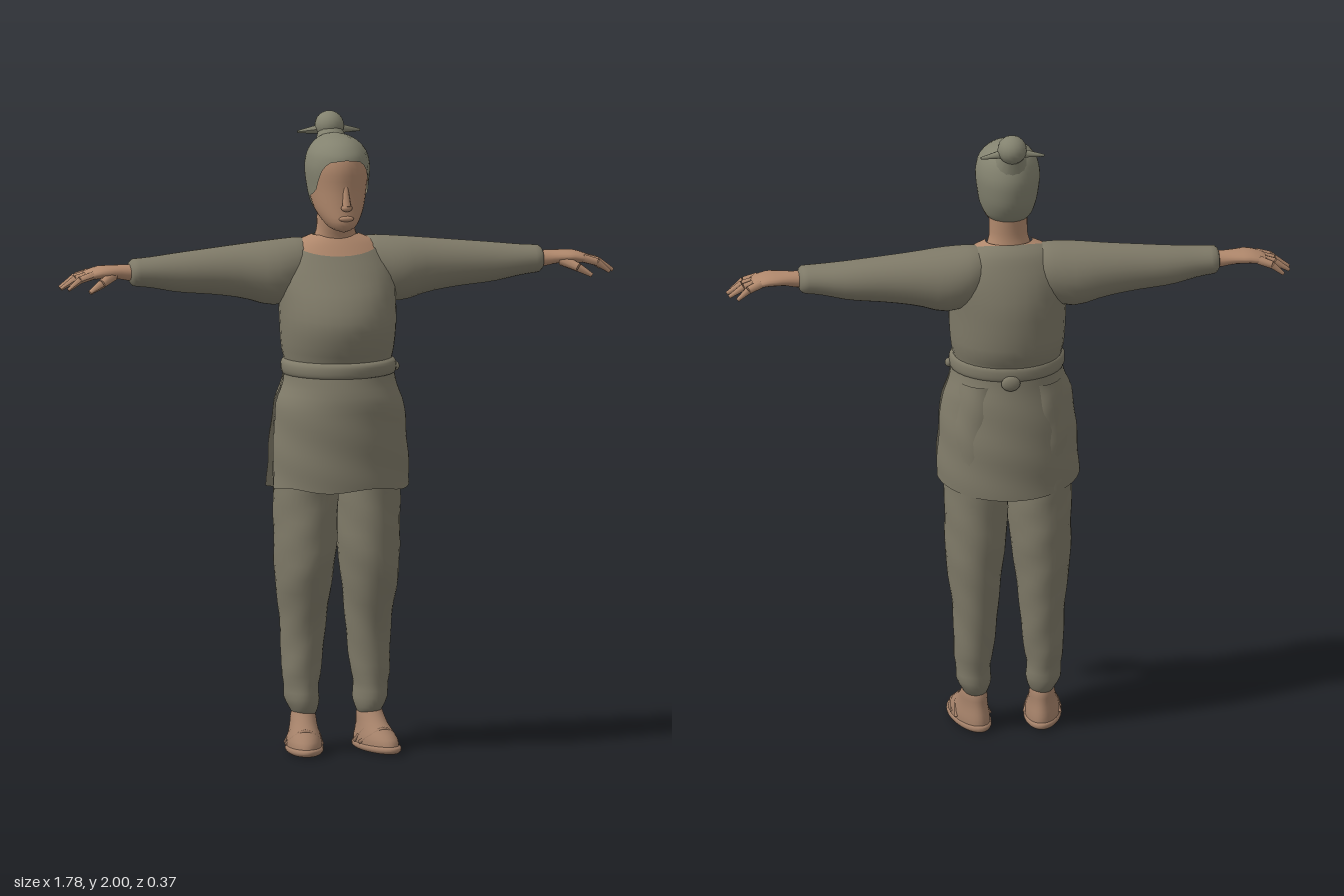
import * as THREE from 'three';
import { mergeVertices } from 'three/addons/utils/BufferGeometryUtils.js';

const mat = (name, color, side = THREE.FrontSide) => {
  const m = new THREE.MeshStandardMaterial({ color, side });
  m.name = name;
  return m;
};

// Smooth, overshoot-free interpolation of rows [t, a, b, ...]
function sample(rows, t) {
  const n = rows.length - 1;
  let i = 0;
  while (i < n - 1 && t > rows[i + 1][0]) i++;
  const slope = (k, c) => (rows[k + 1][c] - rows[k][c]) / (rows[k + 1][0] - rows[k][0]);
  const tangent = (k, c) => {
    if (k === 0) return slope(0, c);
    if (k === n) return slope(n - 1, c);
    const p = slope(k - 1, c), q = slope(k, c);
    return p * q <= 0 ? 0 : (2 * p * q) / (p + q);
  };
  const h = rows[i + 1][0] - rows[i][0];
  const u = Math.min(1, Math.max(0, (t - rows[i][0]) / h)), u2 = u * u, u3 = u2 * u;
  return rows[i].map((v, c) => c === 0 ? t :
    (2 * u3 - 3 * u2 + 1) * v + (u3 - 2 * u2 + u) * h * tangent(i, c) +
    (3 * u2 - 2 * u3) * rows[i + 1][c] + (u3 - u2) * h * tangent(i + 1, c));
}

// Skin over oval sections [t, halfWidth, low, high, centre] along y or x.
// lo/hi trim the ends by angle; half/slit leave an opening at the sides.
function loft(rows, o = {}) {
  const { axis = 'y', mid = 0, half = Math.PI, slit = 0, grow = 1, ripple = 0, nu = 32, nv = 22 } = o;
  const lo = o.lo ?? (() => rows[0][0]);
  const hi = o.hi ?? (() => rows[rows.length - 1][0]);
  const pos = [], index = [];
  for (let j = 0; j <= nv; j++) {
    const s = 0.5 - 0.5 * Math.cos(Math.PI * j / nv);
    for (let i = 0; i <= nu; i++) {
      const a = mid + (2 * i / nu - 1) * (half - slit * (1 - s));
      const t = lo(a) + (hi(a) - lo(a)) * s;
      const [, w, b, f, c = 0] = sample(rows, t);
      const k = grow * (1 + ripple * Math.sin(3 * a + t * 45));
      const across = c + k * w * Math.sin(a);
      const depth = (b + f) / 2 + k * (f - b) / 2 * Math.cos(a);
      pos.push(...(axis === 'y' ? [across, t, depth] : [t, depth, across]));
      if (i < nu && j < nv) {
        const p = j * (nu + 1) + i, q = p + nu + 1;
        index.push(p, p + 1, q, p + 1, q + 1, q);
      }
    }
  }
  let g = new THREE.BufferGeometry();
  g.setAttribute('position', new THREE.Float32BufferAttribute(pos, 3));
  g.setIndex(index);
  g = mergeVertices(g, 1e-5);
  g.computeVertexNormals();
  return g;
}

// Tapered round bar between two points
function bar(p, q, r1, r2, sides = 8) {
  const a = new THREE.Vector3(...p), d = new THREE.Vector3(...q).sub(a);
  const g = new THREE.CylinderGeometry(r2, r1, d.length(), sides);
  g.applyQuaternion(new THREE.Quaternion().setFromUnitVectors(new THREE.Vector3(0, 1, 0), d.clone().normalize()));
  return g.translate(...a.addScaledVector(d, 0.5).toArray());
}

const ball = (x, y, z, rx, ry, rz) =>
  new THREE.SphereGeometry(1, 16, 12).scale(rx, ry, rz).translate(x, y, z);

function mirrored(geo) {
  const g = geo.clone().scale(-1, 1, 1), ix = g.index.array;
  for (let i = 0; i < ix.length; i += 3) [ix[i], ix[i + 1]] = [ix[i + 1], ix[i]];
  g.computeVertexNormals();
  return g;
}

export function createModel() {
  const root = new THREE.Group();
  root.name = 'figure';
  const cloth = mat('olive cloth', 0x7f7a68, THREE.DoubleSide);
  const hairMat = mat('grey hair', 0x83826f, THREE.DoubleSide);
  const skin = mat('skin', 0xb0886c);
  const shoeMat = mat('shoe leather', 0xa38068);
  const add = (name, geo, m) => {
    const mesh = new THREE.Mesh(geo, m);
    mesh.name = name;
    root.add(mesh);
  };
  const pair = (name, geo, m) => {
    add('left' + name, geo, m);
    add('right' + name, mirrored(geo), m);
  };

  // Tunic body with a scooped neckline, skin showing inside it
  const torso = [
    [1.17, .17, -.15, .155], [1.22, .168, -.15, .15], [1.28, .178, -.175, .17],
    [1.35, .183, -.18, .182], [1.42, .185, -.178, .16], [1.5, .19, -.162, .105],
    [1.56, .17, -.14, .062], [1.6, .13, -.12, .035], [1.625, .075, -.09, .015]];
  add('tunicBody', loft(torso, { hi: a => 1.595 - .03 * Math.cos(a) + .012 * Math.sin(a) ** 2 }), cloth);
  add('upperChest', loft(torso, { lo: () => 1.52, grow: .98 }), skin);
  add('neck', loft([[1.55, .085, -.1, .03], [1.61, .07, -.09, .02], [1.65, .06, -.085, .03], [1.72, .06, -.09, .05]]), skin);

  // Skirt of the tunic: front and back panels, slit at the sides
  const skirt = [
    [.8, .228, -.182, .188], [.95, .22, -.18, .186], [1.1, .205, -.165, .183],
    [1.17, .18, -.155, .167], [1.22, .172, -.15, .155]];
  add('skirtFront', loft(skirt, { half: 1.57, slit: .27, lo: a => .84 + .006 * Math.sin(5 * a), ripple: .008 }), cloth);
  add('skirtBack', loft(skirt, { mid: Math.PI, half: 1.57, slit: .1, lo: a => .845 + .04 * Math.cos(a), ripple: .008 }), cloth);

  // Belt and its knots
  add('belt', loft([[1.19, .168, -.148, .158], [1.197, .179, -.158, .17], [1.216, .182, -.16, .172],
    [1.234, .179, -.158, .168], [1.242, .168, -.148, .15]], { nv: 10, ripple: .006 }), cloth);
  add('sideKnot', ball(.183, 1.207, .01, .012, .014, .014), cloth);
  add('backKnot', ball(.01, 1.19, -.16, .03, .025, .014), cloth);

  // Sleeves
  pair('Sleeve', loft([
    [.06, .05, 1.5, 1.6, -.05], [.12, .088, 1.43, 1.615, -.05], [.2, .1, 1.405, 1.61, -.046],
    [.3, .085, 1.43, 1.6, -.048], [.4, .074, 1.445, 1.59, -.046], [.5, .067, 1.455, 1.58, -.043],
    [.6, .057, 1.475, 1.57, -.034], [.655, .052, 1.483, 1.566, -.031], [.662, .03, 1.5, 1.55, -.03]],
  { axis: 'x', nu: 24 }), cloth);

  // Hands with four fingers and a thumb
  pair('Palm', loft([
    [.62, .03, 1.495, 1.55, -.03], [.67, .032, 1.5, 1.55, -.03], [.71, .04, 1.508, 1.55, -.028],
    [.75, .05, 1.51, 1.55, -.026], [.79, .048, 1.507, 1.54, -.026], [.81, .036, 1.512, 1.53, -.027],
    [.813, .001, 1.52, 1.522, -.027]], { axis: 'x', nu: 18, nv: 14 }), skin);
  [[.86, -.078], [.882, -.046], [.885, -.014], [.868, .017]].forEach(([x, z], i) => {
    const root = [.785, 1.525, -.061 + .023 * i], knuckle = [(x + .79) / 2, 1.512, z * .93 - .002];
    pair('Finger' + i, bar(root, knuckle, .0135, .012), skin);
    pair('Fingertip' + i, bar(knuckle, [x, 1.482, z], .012, .006), skin);
  });
  pair('ThumbBase', bar([.72, 1.52, -.005], [.765, 1.5, .033], .018, .014), skin);
  pair('ThumbTip', bar([.765, 1.5, .033], [.805, 1.476, .046], .014, .007), skin);

  // Trouser legs gathered at the ankle
  pair('TrouserLeg', loft([
    [.115, .034, -.07, .025, .104], [.13, .042, -.086, .04, .105], [.17, .055, -.1, .048, .11],
    [.2, .053, -.1, .044, .111], [.24, .06, -.108, .049, .111], [.32, .066, -.118, .052, .107],
    [.42, .073, -.13, .068, .105], [.55, .089, -.143, .107, .106], [.65, .097, -.15, .121, .101],
    [.8, .1, -.152, .122, .1], [1, .1, -.15, .13, .1], [1.17, .085, -.14, .13, .085]],
  { ripple: .015, nv: 36 }), cloth);

  // Shoes turned slightly outward
  const place = g => g.rotateY(.16).translate(.11, 0, 0);
  pair('Ankle', loft([[.07, .04, -.08, .04], [.1, .037, -.075, .03], [.16, .035, -.07, .025]], { nv: 6 }).translate(.105, 0, 0), skin);
  pair('Sole', place(loft([[0, .001, .03, .032], [.004, .052, -.1, .17], [.014, .06, -.108, .18],
    [.024, .058, -.105, .176], [.03, .03, -.06, .12]], { nv: 12 })), shoeMat);
  pair('ShoeUpper', place(loft([[.018, .056, -.1, .168], [.04, .055, -.097, .158], [.062, .049, -.09, .125],
    [.085, .043, -.083, .078], [.11, .04, -.08, .045], [.125, .036, -.073, .03]], { nv: 12 })), shoeMat);
  for (const [z, y] of [[.05, .092], [.095, .074]]) {
    const curve = new THREE.CatmullRomCurve3([[-.055, .028, z - .06], [-.035, y - .018, z - .01],
      [0, y, z], [.035, y - .018, z - .01], [.055, .028, z - .06]].map(p => new THREE.Vector3(...p)));
    pair('ShoeStrap' + (z < .07 ? 'Upper' : 'Lower'), place(new THREE.TubeGeometry(curve, 14, .007, 6)), shoeMat);
  }

  // Head, nose and lips
  const head = [
    [1.645, .008, .04, .085], [1.655, .036, .005, .108], [1.68, .058, -.05, .121], [1.72, .078, -.1, .117],
    [1.78, .09, -.128, .114], [1.84, .096, -.135, .118], [1.88, .09, -.127, .11],
    [1.91, .073, -.115, .088], [1.932, .045, -.092, .05], [1.945, .001, -.03, -.028]];
  add('head', loft(head, { hi: () => 1.93 }), skin);
  add('noseBridge', bar([0, 1.79, .107], [0, 1.73, .124], .008, .014), skin);
  add('noseTip', ball(0, 1.727, .122, .018, .012, .014), skin);
  add('lips', ball(0, 1.692, .118, .024, .009, .009), skin);

  // Hair cap with a curved hairline, drawn into a topknot
  const hairline = [[0, 1.875], [.5, 1.868], [.85, 1.83], [1, 1.785], [1.3, 1.762], [1.7, 1.745], [2.2, 1.705], [3.2, 1.695]];
  add('hair', loft(head, { grow: 1.05, nu: 48, lo: a => sample(hairline, Math.abs(a))[1] }), hairMat);
  add('topknotBase', bar([0, 1.885, -.078], [0, 1.95, -.11], .06, .034, 16), hairMat);
  add('topknot', ball(0, 1.955, -.115, .046, .045, .05), hairMat);
  pair('TopknotEnd', bar([.015, 1.945, -.115], [.1, 1.935, -.125], .017, .004), hairMat);
  return root;
}
